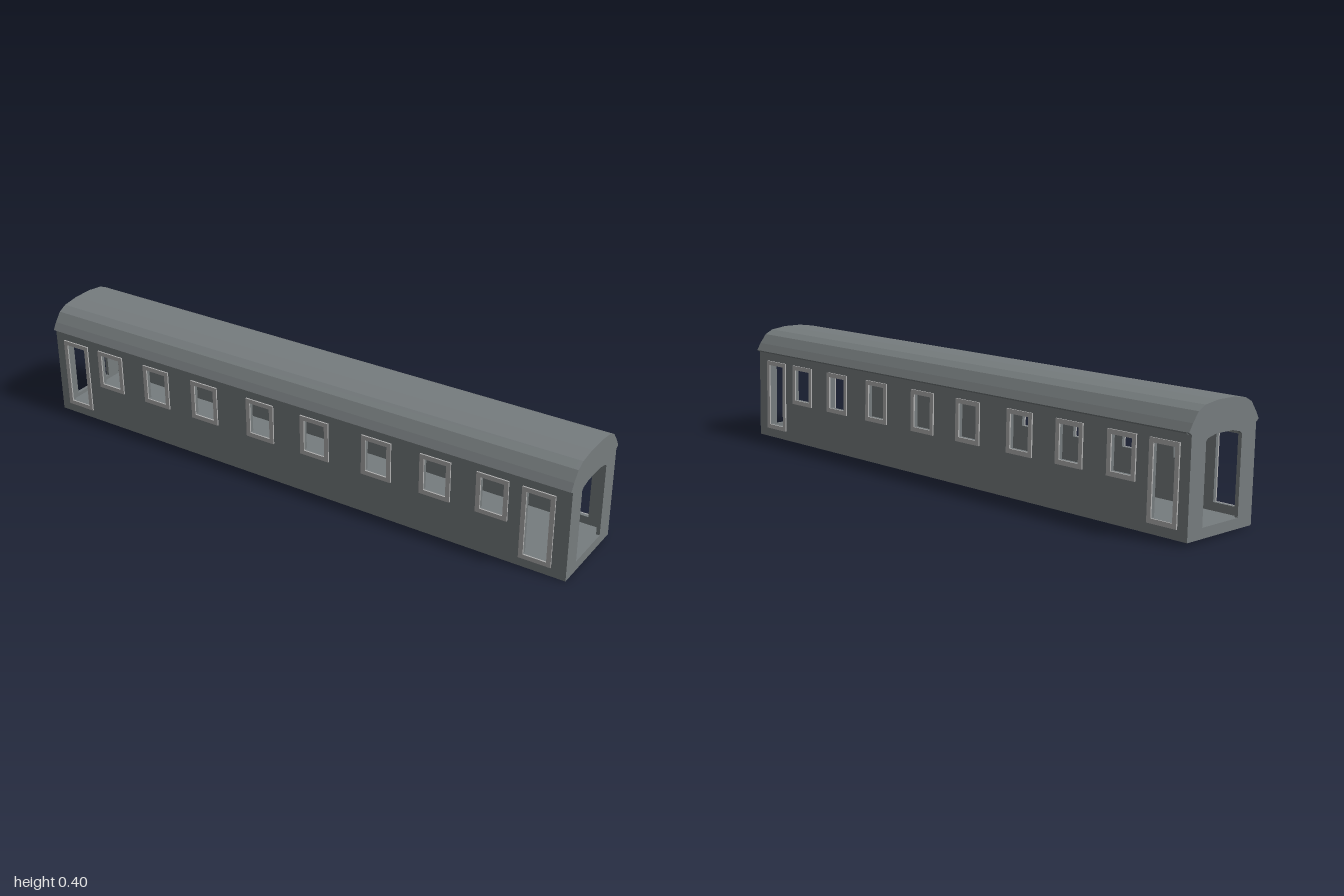
import * as THREE from 'three';

const LENGTH = 1.993, HALF = 0.151, WALL = 0.012, EAVE = 0.309;

// half of the roof section, eave to crown, as [z, y]
const roofHalf = [[0.163, 0.316], [0.148, 0.341], [0.124, 0.372], [0.094, 0.387], [0.035, 0.395]];
const mirrored = (pts) => [...pts, ...pts.map(([z, y]) => [-z, y]).reverse()];
const toShape = (pts) => new THREE.Shape(pts.map(([a, b]) => new THREE.Vector2(a, b)));
const toPath = (pts) => new THREE.Path(pts.map(([a, b]) => new THREE.Vector2(a, b)));
const rect = (cx, w, y0, y1) => [[cx - w / 2, y0], [cx + w / 2, y0], [cx + w / 2, y1], [cx - w / 2, y1]];
const extrude = (shape, depth) => new THREE.ExtrudeGeometry(shape, { depth, bevelEnabled: false });

export function createModel() {
  const model = new THREE.Group();
  const coach = new THREE.Group();
  coach.name = 'railwayCoach';
  model.add(coach);
  const bodyPaint = new THREE.MeshStandardMaterial({ color: 0x767c7e, flatShading: true });
  const framePaint = new THREE.MeshStandardMaterial({ color: 0xb0b0b0, flatShading: true });
  const add = (name, material, geometry, x = 0, y = 0, z = 0) => {
    const mesh = new THREE.Mesh(geometry, material);
    mesh.name = name;
    mesh.position.set(x, y, z);
    coach.add(mesh);
  };
  // section drawn in (z, y) and swept along x, centred
  const sweep = (shape, length) =>
    extrude(shape, length).translate(0, 0, -length / 2).rotateY(Math.PI / 2);
  const inner = LENGTH - 2 * WALL;

  // openings along the sides: centre, bottom
  const openings = [
    ...[-0.75, -0.547, -0.341, -0.112, 0.102, 0.334, 0.545, 0.741].map((x) => ({ x, y0: 0.142, name: 'windowFrame' })),
    ...[-0.906, 0.893].map((x) => ({ x, y0: 0.032, name: 'doorFrame' })),
  ];
  const top = 0.282, frameW = 0.108, rim = 0.015, proud = 0.005;

  // side walls and the raised frames around their openings
  for (const side of [1, -1]) {
    const wall = toShape(rect(0, inner, 0, EAVE));
    for (const { x, y0 } of openings) {
      wall.holes.push(toPath(rect(x, frameW - 2 * rim, y0 + rim, top - rim)));
    }
    add('sideWall', bodyPaint, extrude(wall, WALL), 0, 0, side > 0 ? HALF - WALL : -HALF);

    for (const { x, y0, name } of openings) {
      const frame = toShape(rect(0, frameW, y0, top));
      frame.holes.push(toPath(rect(0, frameW - 2 * rim, y0 + rim, top - rim)));
      add(name, framePaint, extrude(frame, proud), x, 0, side > 0 ? HALF : -HALF - proud);
    }
  }

  // floor
  add('floor', bodyPaint, new THREE.BoxGeometry(inner, 0.02, 2 * (HALF - WALL)), 0, 0.01, 0);

  // curved roof shell with overhanging eaves
  const outer = mirrored([[HALF, EAVE], ...roofHalf]);
  const under = mirrored([[HALF - WALL, EAVE], ...roofHalf.map(([z, y]) => [z * 0.92, y - 0.01])]);
  add('roof', bodyPaint, sweep(toShape([...outer, ...under.reverse()]), inner));

  // end walls with gangway openings
  const end = toShape(mirrored([[HALF, 0], [HALF, EAVE], ...roofHalf]));
  end.holes.push(toPath(mirrored([[0.084, 0.033], [0.084, 0.283], [0.075, 0.29], [0.04, 0.298]])));
  for (const side of [1, -1]) add('endWall', bodyPaint, sweep(end, WALL), side * (LENGTH - WALL) / 2);

  // the whole coach sits at a very slight tilt
  coach.rotation.set(0.026, -0.02, -0.002);
  coach.position.set(0, 0.006, -0.006);
  return model;
}
